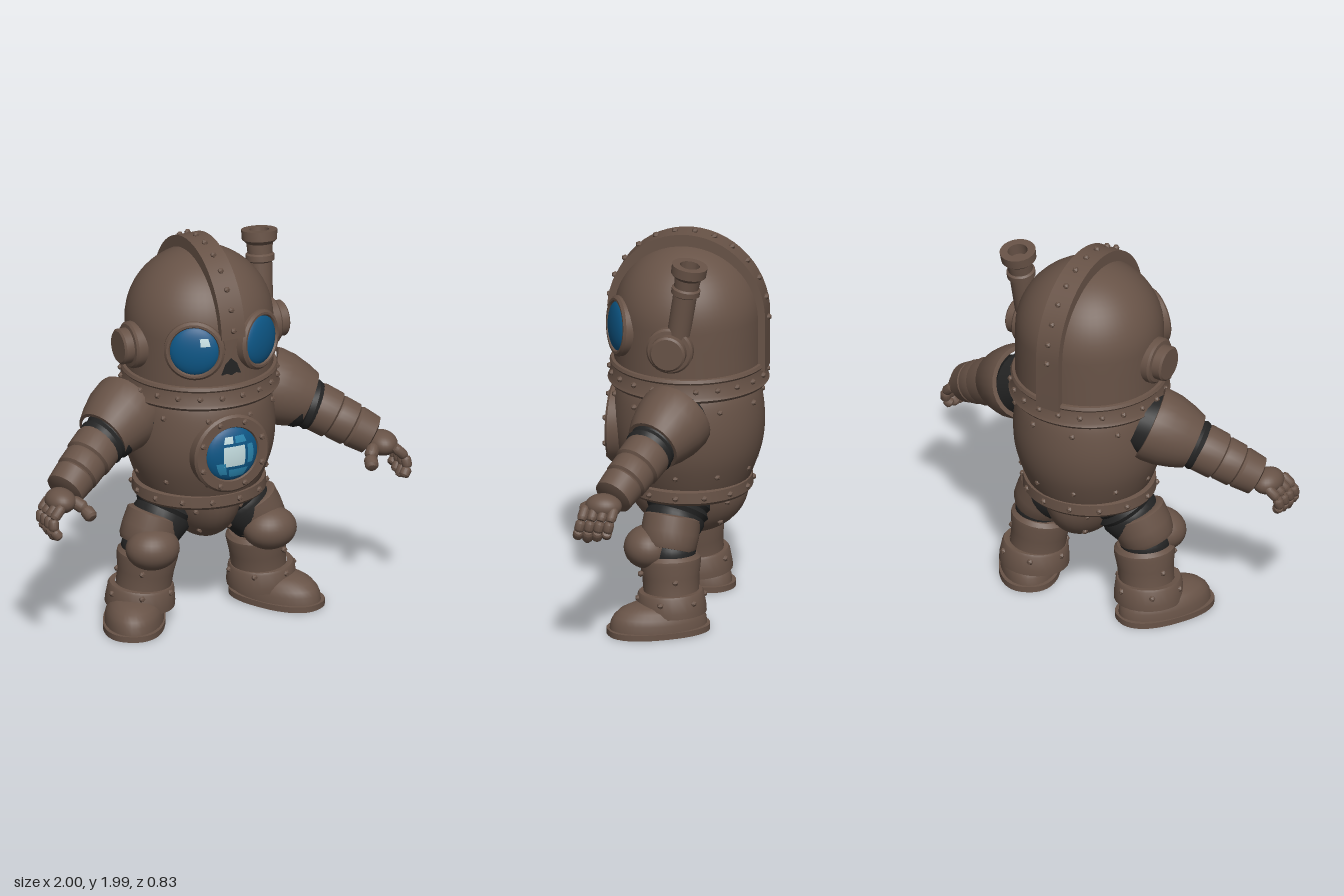
import * as THREE from 'three';
import { toCreasedNormals } from 'three/addons/utils/BufferGeometryUtils.js';

const V = (x, y, z) => new THREE.Vector3(x, y, z);
const UP = V(0, 1, 0), FRONT = V(0, 0, 1);

export function createModel() {
  const root = new THREE.Group();
  const mat = (name, color) => Object.assign(new THREE.MeshStandardMaterial({ color }), { name });
  const bronze = mat('bronze', 0x685347);
  const rubber = mat('black rubber', 0x242424);
  const glass = mat('blue glass', 0x0d5685);
  const paleGlass = mat('light blue glass', 0x2a86b0);
  const shine = mat('glass highlight', 0xc4dde0);

  const add = (name, geo, material, parent = root) => {
    const m = new THREE.Mesh(geo, material);
    m.name = name;
    parent.add(m);
    return m;
  };
  const lathe = (pts, sides = 36) =>
    toCreasedNormals(new THREE.LatheGeometry(pts.map(p => new THREE.Vector2(p[0], p[1])), sides), 0.6);
  // Turned piece running from a to b; profile is [radius, fraction of length]
  const seg = (name, a, b, profile, material = bronze, sides = 28) => {
    const d = b.clone().sub(a), len = d.length();
    const m = add(name, lathe(profile.map(([r, t]) => [r, t * len]), sides), material);
    m.position.copy(a);
    m.quaternion.setFromUnitVectors(UP, d.normalize());
    return m;
  };
  const rivetGeo = new THREE.IcosahedronGeometry(0.017, 0);
  const rivet = (x, y, z, parent = root) => add('rivet', rivetGeo, bronze, parent).position.set(x, y, z);
  const ball = (name, p, rx, ry, rz, material = bronze) =>
    add(name, new THREE.SphereGeometry(1, 28, 18).scale(rx, ry, rz), material).position.copy(p);

  // Torso
  const torsoCurve = new THREE.SplineCurve([[0.28, 0.64], [0.325, 0.74], [0.365, 0.86], [0.38, 0.98],
    [0.372, 1.1], [0.35, 1.19], [0.31, 1.24]].map(p => new THREE.Vector2(...p)));
  const torsoPts = torsoCurve.getPoints(24);
  add('torso', lathe([[0, 0.64], ...torsoPts.map(p => [p.x, p.y]), [0, 1.26]], 48), bronze);
  for (const y of [0.78, 1.13]) for (let i = 0; i < 10; i++) {
    const a = (i + 0.5) / 10 * Math.PI * 2;
    const r = torsoPts.reduce((b, p) => Math.abs(p.y - y) < Math.abs(b.y - y) ? p : b).x;
    rivet(Math.sin(a) * r, y, Math.cos(a) * r);
  }

  // Belt and pelvis
  add('belt', lathe([[0.28, 0.63], [0.325, 0.635], [0.338, 0.65], [0.335, 0.705], [0.3, 0.715]], 48)
    .scale(1, 1, 0.95), bronze);
  for (let i = 0; i < 14; i++) {
    const a = (i + 0.5) / 14 * Math.PI * 2;
    rivet(Math.sin(a) * 0.337, 0.675, Math.cos(a) * 0.32);
  }
  add('pelvis', new THREE.SphereGeometry(1, 32, 14, 0, Math.PI * 2, Math.PI / 2, Math.PI / 2)
    .scale(0.185, 0.27, 0.305), bronze).position.y = 0.665;
  for (const s of [-1, 1]) for (const f of [-1, 1]) {
    rivet(s * 0.12, 0.6, f * 0.22);
    rivet(s * 0.08, 0.48, f * 0.175);
  }

  // Helmet dome, collar and crest
  const dome = [[0.37, 1.25], [0.37, 1.45]];
  for (let i = 0; i <= 16; i++) {
    const a = i / 16 * Math.PI / 2;
    dome.push([0.37 * Math.cos(a), 1.55 + 0.365 * Math.sin(a)]);
  }
  add('helmetDome', lathe(dome, 56), bronze);
  add('collar', lathe([[0.3, 1.195], [0.39, 1.195], [0.402, 1.21], [0.393, 1.225], [0.385, 1.29],
    [0.392, 1.3], [0.385, 1.315], [0.36, 1.318]], 56), bronze);
  for (let i = 0; i < 22; i++) {
    const a = (i + 0.5) / 22 * Math.PI * 2;
    rivet(Math.sin(a) * 0.391, 1.257, Math.cos(a) * 0.391);
  }
  const arc = (rz, ry) => Array.from({ length: 29 }, (_, i) => {
    const a = 0.05 + i / 28 * (Math.PI - 0.05);
    return new THREE.Vector2(rz * Math.cos(a), 1.55 + ry * Math.sin(a));
  });
  const outer = [...arc(0.4, 0.42), new THREE.Vector2(-0.4, 1.28)];
  const inner = [...arc(0.34, 0.34), new THREE.Vector2(-0.34, 1.28)];
  add('crest', toCreasedNormals(new THREE.ExtrudeGeometry(new THREE.Shape([...outer, ...inner.reverse()]),
    { depth: 0.13, bevelEnabled: false }).translate(0, 0, -0.065).rotateY(-Math.PI / 2), 0.6), bronze);
  for (let i = 0; i < 13; i++) {
    const a = 0.15 + i / 12 * 3;
    rivet(0, 1.55 + 0.424 * Math.sin(a), 0.404 * Math.cos(a));
  }

  // Framed round window with a bulging pane; patches are [phi, theta, dPhi, dTheta, material]
  const porthole = (name, pos, dir, r, rimR, bulge, patches, bolts) => {
    const g = new THREE.Group();
    g.name = name;
    g.position.copy(pos);
    g.quaternion.setFromUnitVectors(FRONT, dir.normalize());
    root.add(g);
    add('rim', lathe([[rimR, -0.08], [rimR, 0.01], [rimR - 0.012, 0.022], [r, 0.022], [r - 0.008, 0.01],
      [r - 0.008, -0.05]], 40).rotateX(Math.PI / 2), bronze, g);
    add('pane', new THREE.SphereGeometry(1, 32, 20).scale(r, r, bulge), glass, g);
    for (const [p, t, dp, dt, m] of patches)
      add('reflection', new THREE.SphereGeometry(1, 8, 6, Math.PI / 2 + p - dp / 2, dp, Math.PI / 2 + t - dt / 2, dt)
        .scale(r, r, bulge).translate(0, 0, 0.002), m, g);
    for (let i = 0; i < bolts; i++) {
      const a = (i + 0.5) / bolts * Math.PI * 2, q = (r + rimR) / 2;
      rivet(Math.cos(a) * q, Math.sin(a) * q, 0.024, g);
    }
  };
  porthole('chestWindow', V(0, 0.95, 0.365), V(0, 0, 1), 0.145, 0.205, 0.048, [
    [0, 0.02, 0.85, 0.75, shine], [-0.25, -0.62, 0.4, 0.3, shine],
    [-0.55, 0.5, 0.4, 0.5, paleGlass], [0.2, 0.72, 0.9, 0.4, paleGlass],
    [0.7, 0, 0.3, 0.7, paleGlass], [0.3, -0.62, 0.5, 0.3, paleGlass]], 8);
  for (const s of [-1, 1])
    porthole('eye', V(s * 0.177, 1.51, 0.318), V(s * 0.48, 0.06, 0.87), 0.128, 0.152, 0.042,
      s < 0 ? [[0.5, -0.42, 0.45, 0.35, shine]] : [], 0);

  // Nose opening
  const nose = new THREE.Shape([[-0.052, -0.035], [-0.025, -0.03], [0, -0.042], [0.025, -0.03], [0.052, -0.035],
    [0.03, 0.02], [0, 0.048], [-0.03, 0.02]].map(p => new THREE.Vector2(...p)));
  add('nose', new THREE.ExtrudeGeometry(nose, { depth: 0.009, bevelEnabled: false }), rubber).position.set(0, 1.41, 0.366);

  // Chimney pipe on the left
  seg('chimney', V(0.352, 1.52, -0.015), V(0.37, 1.92, -0.08), [[0.058, 0], [0.06, 0.6], [0.072, 0.62],
    [0.072, 0.69], [0.062, 0.71], [0.066, 0.83], [0.088, 0.88], [0.09, 1], [0.05, 1], [0.05, 0.85], [0, 0.85]]);

  for (const s of [-1, 1]) {
    const P = (x, y, z) => V(s * x, y, z);

    // Ear discs
    seg('earDisc', P(0.33, 1.47, 0.02), P(0.455, 1.47, 0.02), [[0.118, 0], [0.118, 0.5], [0.108, 0.58],
      [0.09, 0.6], [0.09, 0.93], [0.08, 1], [0, 1]], bronze, 32);

    // Arm
    seg('armSleeve', P(0.3, 1.12, -0.02), P(0.64, 0.98, 0.11), [[0.15, 0], [0.17, 0.25], [0.145, 0.4],
      [0.135, 0.68], [0.12, 0.75], [0.13, 0.82], [0.115, 0.9], [0.1, 1]], rubber);
    seg('shoulderPlate', P(0.365, 1.125, -0.02), P(0.565, 1.03, 0.07), [[0.165, 0], [0.188, 0], [0.192, 0.1],
      [0.187, 0.4], [0.165, 0.75], [0.142, 1], [0.125, 1]]);
    seg('forearm', P(0.585, 1.005, 0.085), P(0.85, 0.84, 0.22), [[0.08, 0], [0.118, 0], [0.124, 0.06],
      [0.122, 0.33], [0.108, 0.36], [0.114, 0.4], [0.112, 0.63], [0.098, 0.66], [0.108, 0.7], [0.1, 0.97], [0.07, 1], [0, 1]]);
    for (const [x, y, z] of [[0.66, 1.065, 0.11], [0.745, 0.995, 0.16], [0.81, 0.94, 0.19], [0.72, 0.93, 0.255]])
      rivet(s * x, y, z);

    // Hand
    ball('palm', P(0.885, 0.81, 0.255), 0.075, 0.062, 0.092);
    const finger = (name, r, pts) => {
      for (let i = 0; i < pts.length - 1; i++)
        seg(name, pts[i], pts[i + 1], [[0, -0.05], [r * 0.75, 0], [r, 0.2], [r, 0.8], [r * 0.7, 1], [0, 1.07]], bronze, 12);
    };
    for (let i = 0; i < 4; i++) {
      const z = 0.195 + i * 0.048, drop = [0.03, 0.01, 0, 0.015][i];
      finger('finger', 0.026, [P(0.915, 0.81, z), P(0.968, 0.755, z + 0.012),
        P(0.974, 0.7, z + 0.025), P(0.945, 0.645 + drop, z + 0.035)]);
    }
    finger('thumb', 0.034, [P(0.83, 0.81, 0.28), P(0.785, 0.775, 0.33), P(0.77, 0.74, 0.385)]);

    // Leg
    seg('hipSleeve', P(0.14, 0.65, 0), P(0.29, 0.42, 0.05), [[0.12, 0], [0.145, 0.08], [0.155, 0.2], [0.142, 0.27],
      [0.158, 0.36], [0.143, 0.44], [0.15, 0.52], [0.13, 0.8], [0.12, 1]], rubber);
    seg('thigh', P(0.318, 0.4, 0.045), P(0.252, 0.555, 0.03), [[0.11, 0], [0.13, 0], [0.142, 0.15], [0.146, 0.5],
      [0.144, 0.95], [0.13, 1], [0.1, 1]]);
    ball('kneeSleeve', P(0.305, 0.39, 0.03), 0.125, 0.1, 0.125, rubber);
    ball('kneePad', P(0.322, 0.412, 0.14), 0.138, 0.108, 0.122);
    seg('shin', P(0.325, 0.1, 0.02), P(0.297, 0.375, 0.035), [[0.145, 0], [0.138, 0.3], [0.142, 0.6], [0.153, 0.86],
      [0.152, 0.93], [0.135, 1], [0.1, 1]]);
    seg('ankleCuff', P(0.335, 0.085, 0.02), P(0.33, 0.195, 0.025), [[0.175, 0], [0.175, 0.25], [0.165, 0.9],
      [0.158, 1], [0.13, 1]]);
    for (let i = 0; i < 6; i++) {
      const a = i / 6 * Math.PI * 2 + 0.4;
      rivet(s * (0.332 + Math.sin(a) * 0.167), 0.165, 0.023 + Math.cos(a) * 0.167);
    }
    rivet(s * 0.39, 0.29, 0.165);
    rivet(s * 0.44, 0.27, -0.02);

    // Boot, toes turned outwards
    const boot = new THREE.Group();
    boot.name = 'boot';
    boot.position.set(s * 0.392, 0, 0.075);
    boot.rotation.y = s * 0.5;
    root.add(boot);
    const outline = new THREE.Shape(Array.from({ length: 40 }, (_, i) => {
      const a = i / 40 * Math.PI * 2, c = Math.cos(a), n = Math.sin(a);
      return new THREE.Vector2(0.155 * Math.sign(c) * Math.abs(c) ** 0.85, 0.262 * Math.sign(n) * Math.abs(n) ** 0.85);
    }));
    add('sole', toCreasedNormals(new THREE.ExtrudeGeometry(outline, { depth: 0.03, bevelEnabled: false })
      .rotateX(-Math.PI / 2), 0.6), bronze, boot);
    add('upper', lathe([[1, 0], [0.98, 0.3], [0.92, 0.52], [0.8, 0.74], [0.6, 0.91], [0.3, 0.99], [0, 1]])
      .scale(0.148, 0.125, 0.25), bronze, boot).position.y = 0.028;
  }
  return root;
}
